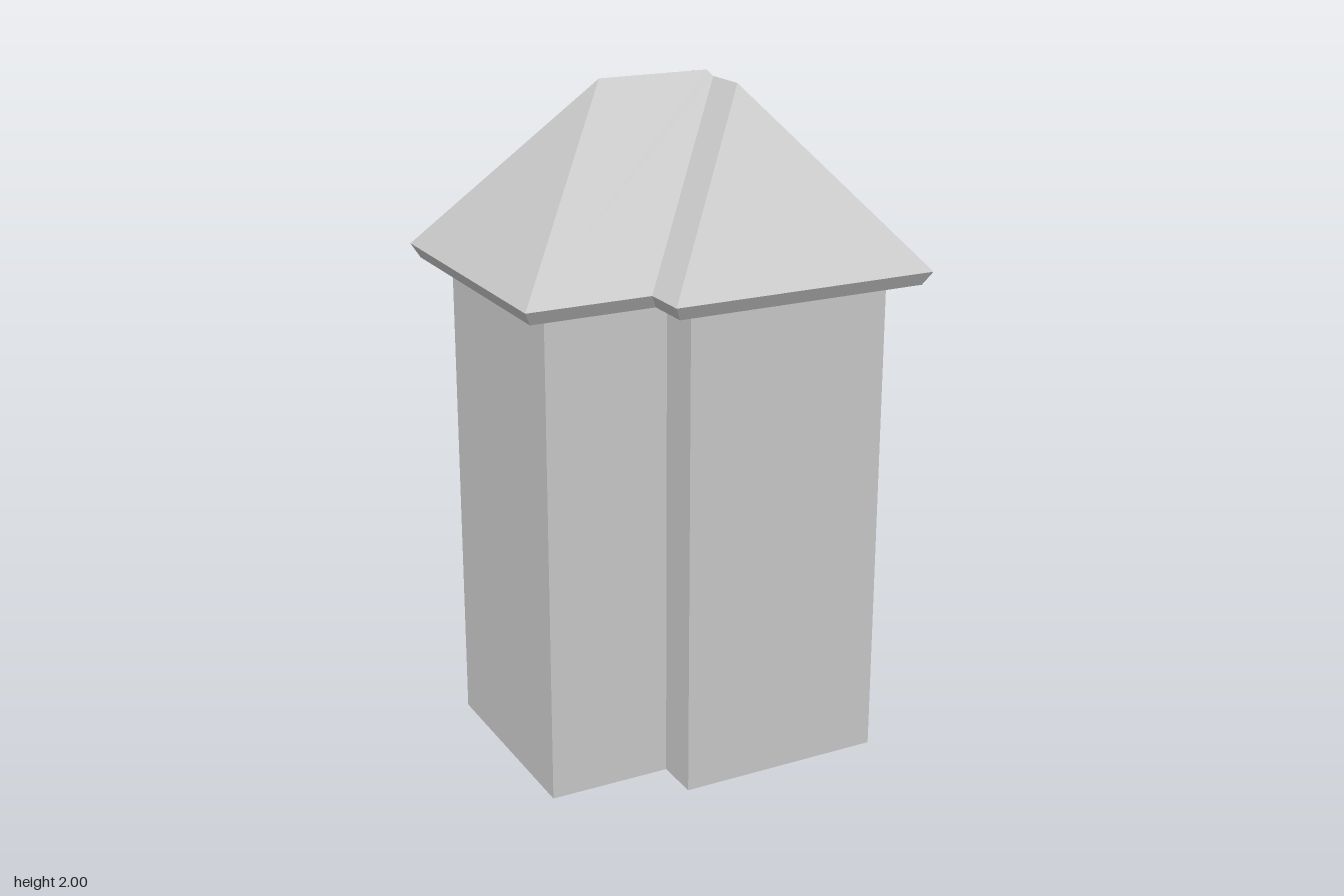
import * as THREE from 'three';

const material = new THREE.MeshStandardMaterial({ color: 0xcccccc, flatShading: true, side: THREE.DoubleSide });

// Builds a flat-shaded mesh from convex polygons, each a list of [x, y, z] corners
function polygonMesh(name, faces) {
  const positions = [];
  for (const face of faces) {
    for (let i = 1; i < face.length - 1; i++) positions.push(...face[0], ...face[i], ...face[i + 1]);
  }
  const geometry = new THREE.BufferGeometry();
  geometry.setAttribute('position', new THREE.Float32BufferAttribute(positions, 3));
  geometry.computeVertexNormals();
  const mesh = new THREE.Mesh(geometry, material);
  mesh.name = name;
  return mesh;
}

// T-shaped footprint at height y, pushed outwards by o, counter-clockwise from above
function outline(o, y) {
  const east = 0.494 + o, west = -0.494 - o, step = -0.127 - o;
  const front = 0.44 + o, back = -0.442 - o;
  const wingFront = 0.302 + o, wingBack = -0.347 - o;
  return [
    [east, y, front], [east, y, back], [step, y, back], [step, y, wingBack],
    [west, y, wingBack], [west, y, wingFront], [step, y, wingFront], [step, y, front],
  ];
}

// Quads joining a lower ring to an upper ring
function band(low, high) {
  return low.map((p, i) => {
    const j = (i + 1) % low.length;
    return [p, low[j], high[j], high[i]];
  });
}

export function createModel() {
  const group = new THREE.Group();
  group.name = 'tower';

  const wallTop = 1.45, eaveY = 1.49, pitch = 1.225;
  const overhang = 0.093, lip = 0.071;

  // Walls, open at the bottom
  group.add(polygonMesh('walls', band(outline(0, 0), outline(0, wallTop))));

  // Slanted eave edge
  const eave = outline(overhang, eaveY);
  group.add(polygonMesh('eaveEdge', band(outline(lip, wallTop), eave)));

  // Hipped roof over the main block, crossed by the slightly higher wing roof
  const [A, B, C, D, E, F, G, H] = eave;
  const run = (A[0] - C[0]) / 2;          // half width of main block
  const wingRun = (F[2] - E[2]) / 2;      // half width of wing
  const ridgeX = A[0] - run, ridgeY = eaveY + run * pitch;
  const wingZ = (F[2] + E[2]) / 2, wingY = eaveY + wingRun * pitch;

  const ridgeFront = [ridgeX, ridgeY, A[2] - run];
  const ridgeBack = [ridgeX, ridgeY, B[2] + run];
  const valleyFront = [ridgeX, ridgeY, G[2] - run];
  const valleyBack = [ridgeX, ridgeY, D[2] + run];
  const wingWest = [E[0] + wingRun, wingY, wingZ];
  const wingEast = [A[0] - wingRun, wingY, wingZ];

  group.add(polygonMesh('mainRoof', [
    [A, B, ridgeBack, ridgeFront],
    [H, A, ridgeFront],
    [B, C, ridgeBack],
    [C, D, valleyBack, ridgeBack],
    [G, H, ridgeFront, valleyFront],
  ]));
  group.add(polygonMesh('wingRoof', [
    [D, E, wingWest, wingEast, valleyBack],
    [E, F, wingWest],
    [F, G, valleyFront, wingEast, wingWest],
    [valleyBack, wingEast, valleyFront],
  ]));

  return group;
}
